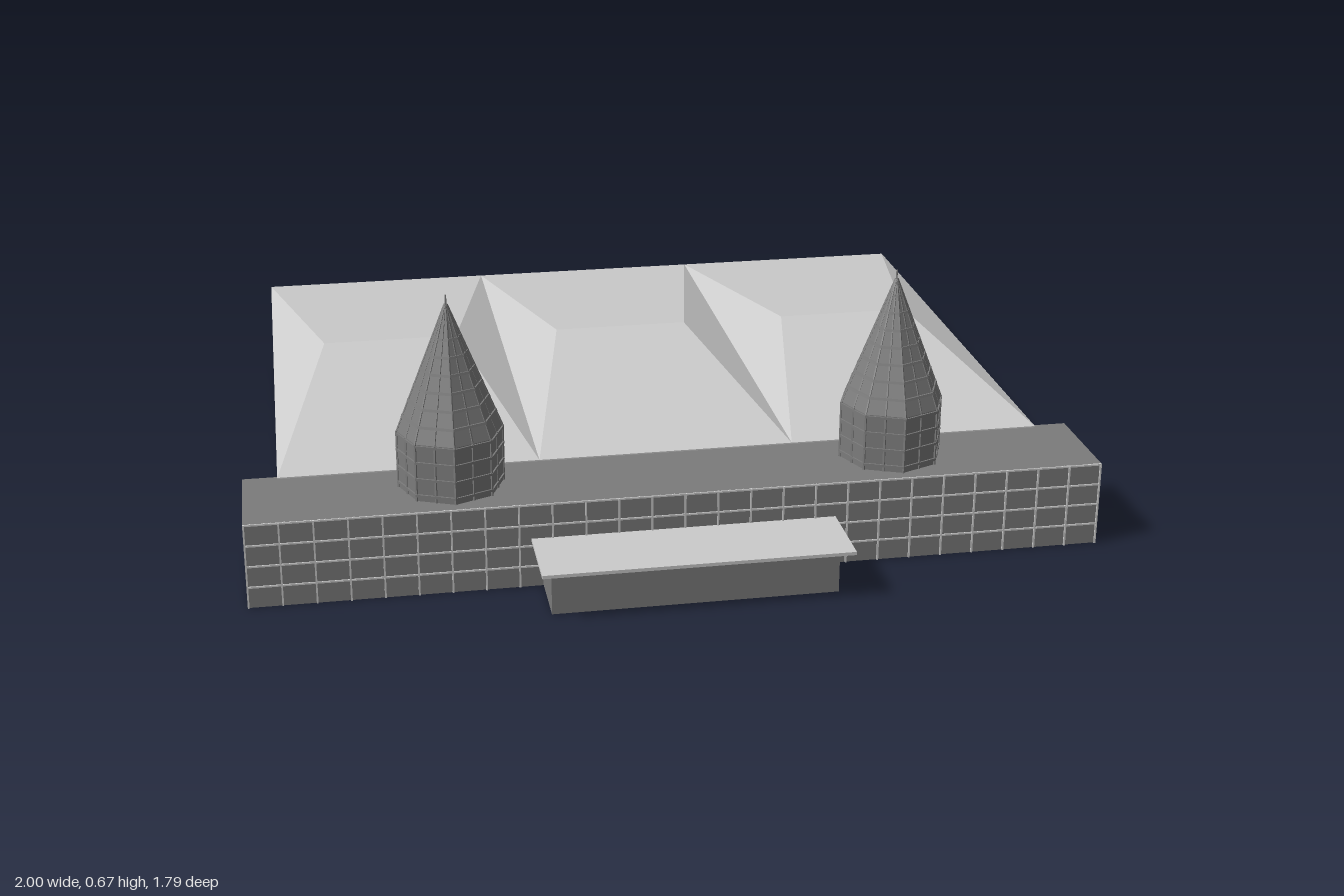
import * as THREE from 'three';

const light = new THREE.MeshStandardMaterial({ color: 0xcccccc, flatShading: true });
const dark = new THREE.MeshStandardMaterial({ color: 0x7b7b7b, flatShading: true });

// Box given by its min and max corners
function box(name, [x0, y0, z0], [x1, y1, z1], material) {
  const mesh = new THREE.Mesh(new THREE.BoxGeometry(x1 - x0, y1 - y0, z1 - z0), material);
  mesh.position.set((x0 + x1) / 2, (y0 + y1) / 2, (z0 + z1) / 2);
  mesh.name = name;
  return mesh;
}

// Thin bar between two points
function bar(name, a, b, radius, material) {
  const mesh = new THREE.Mesh(new THREE.CylinderGeometry(radius, radius, a.distanceTo(b), 4), material);
  mesh.position.copy(a).lerp(b, 0.5);
  mesh.quaternion.setFromUnitVectors(new THREE.Vector3(0, 1, 0), b.clone().sub(a).normalize());
  mesh.name = name;
  return mesh;
}

// Hipped roof whose ridge runs along x
function hipRoof(x0, x1, zBack, zFront, yEave, yRidge, zRidge, inset) {
  const p = [
    [x0, yEave, zBack], [x1, yEave, zBack], [x1, yEave, zFront], [x0, yEave, zFront],
    [x0 + inset, yRidge, zRidge], [x1 - inset, yRidge, zRidge],
  ];
  const faces = [3, 2, 5, 3, 5, 4, 2, 1, 5, 1, 0, 4, 1, 4, 5, 0, 3, 4];
  const geometry = new THREE.BufferGeometry();
  geometry.setAttribute('position', new THREE.Float32BufferAttribute(faces.flatMap((i) => p[i]), 3));
  geometry.computeVertexNormals();
  const mesh = new THREE.Mesh(geometry, light);
  mesh.name = 'hipRoof';
  return mesh;
}

// Octagonal glazed tower with a pointed roof
function tower() {
  const group = new THREE.Group();
  group.name = 'tower';
  const r = 0.121, base = 0.2, eave = 0.345, tip = 0.645;
  const add = (name, top, bottom, y0, y1, sides = 8) => {
    const mesh = new THREE.Mesh(new THREE.CylinderGeometry(top, bottom, y1 - y0, sides), dark);
    mesh.position.y = (y0 + y1) / 2;
    mesh.name = name;
    group.add(mesh);
  };
  add('towerDrum', r, r, base, eave);
  add('towerSpire', 0.003, r, eave, tip);
  add('towerMast', 0.002, 0.002, tip - 0.01, 0.667, 4);

  // Horizontal glazing rings
  for (let i = 0; i < 4; i++) {
    const y = base + 0.02 + i * 0.04;
    add('drumRing', r + 0.004, r + 0.004, y - 0.003, y + 0.003);
  }
  for (let i = 1; i < 8; i++) {
    const y = eave + (tip - eave) * i / 8, ring = r * (1 - i / 8) + 0.004;
    add('spireRing', ring - 0.001, ring + 0.001, y - 0.003, y + 0.003);
  }

  // Upright ribs at the corners and the middle of each face
  for (let i = 0; i < 16; i++) {
    const a = i * Math.PI / 8, d = i % 2 ? r * Math.cos(Math.PI / 8) : r;
    const at = (y, k) => new THREE.Vector3(Math.sin(a) * d * k, y, Math.cos(a) * d * k);
    group.add(bar('drumRib', at(base, 1), at(eave, 1), 0.0035, dark));
    group.add(bar('spireRib', at(eave, 1), at(tip, 0.02), 0.0025, dark));
  }
  return group;
}

export function createModel() {
  const model = new THREE.Group();
  model.name = 'exhibitionHall';

  // Hall with three hipped roof bays
  model.add(box('hall', [-0.915, 0, -0.882], [0.915, 0.203, 0.465], light));
  model.add(box('eaves', [-0.92, 0.203, -0.895], [0.92, 0.209, 0.472], light));
  for (let i = -1; i <= 1; i++) {
    const c = i * 0.613;
    model.add(hipRoof(c - 0.3065, c + 0.3065, -0.895, 0.472, 0.209, 0.28, -0.21, 0.134));
  }

  // Front block with a window grid
  model.add(box('frontBlock', [-1, 0, 0.46], [1, 0.206, 0.708], dark));
  const columns = 26, rows = 4, w = 0.002;
  for (let i = 0; i <= columns; i++) {
    const x = -0.998 + 1.996 * i / columns;
    model.add(box('mullion', [x - w, 0, 0.706], [x + w, 0.206, 0.712], light));
  }
  for (let i = 1; i <= rows; i++) {
    const y = 0.204 * i / rows;
    model.add(box('transom', [-1, y - w, 0.706], [1, y + w, 0.711], light));
  }

  // Entrance and its canopy
  model.add(box('entrance', [-0.33, 0, 0.7], [0.33, 0.104, 0.852], dark));
  model.add(box('canopy', [-0.356, 0.112, 0.7], [0.356, 0.12, 0.897], light));

  for (const side of [-1, 1]) {
    const t = tower();
    t.position.set(side * 0.523, 0, 0.561);
    model.add(t);
  }
  return model;
}
